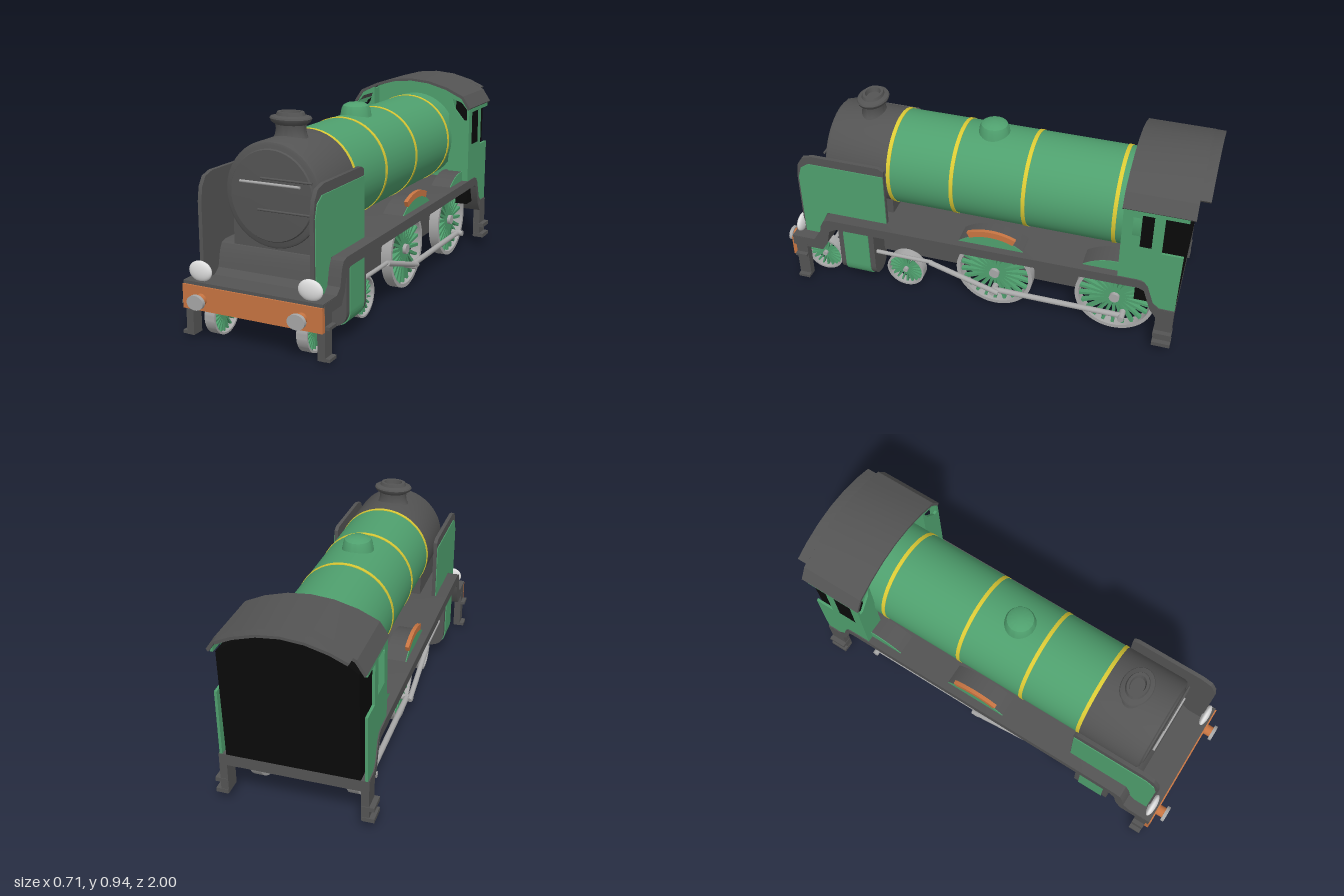
import * as THREE from 'three';
import { toCreasedNormals } from 'three/addons/utils/BufferGeometryUtils.js';

const mat = (name, color) => Object.assign(new THREE.MeshStandardMaterial({ color }), { name });
const green = mat('green', 0x4fa06e), dark = mat('charcoal', 0x545454), black = mat('black', 0x0a0a0a);
const orange = mat('orange', 0xc87542), yellow = mat('yellow', 0xdccb35);
const steel = mat('steel', 0xa8a8a8), white = mat('lampWhite', 0xdedede);

const toShape = (pts) => new THREE.Shape(pts.map(([a, b]) => new THREE.Vector2(a, b)));
const toPath = (pts) => new THREE.Path(pts.map(([a, b]) => new THREE.Vector2(a, b)));

export function createModel() {
  const root = new THREE.Group();
  root.name = 'steamLocomotive';

  const add = (name, geo, material, x = 0, y = 0, z = 0, parent = root) => {
    const m = new THREE.Mesh(geo, material);
    m.name = name;
    m.position.set(x, y, z);
    parent.add(m);
    return m;
  };
  const box = (name, material, w, h, d, x, y, z) => add(name, new THREE.BoxGeometry(w, h, d), material, x, y, z);
  // Extrudes a (z, y) side profile across x, centred on the mesh
  const slabGeo = (shape, depth) => {
    const g = new THREE.ExtrudeGeometry(shape, { depth, bevelEnabled: false, curveSegments: 32 });
    return toCreasedNormals(g.translate(0, 0, -depth / 2).rotateY(-Math.PI / 2), 0.6);
  };
  // Extrudes an (x, y) front profile between two z values
  const plateGeo = (shape, z0, z1) =>
    toCreasedNormals(new THREE.ExtrudeGeometry(shape, { depth: z1 - z0, bevelEnabled: false, curveSegments: 24 }).translate(0, 0, z0), 0.5);
  const lathe = (pts, seg = 48) =>
    toCreasedNormals(new THREE.LatheGeometry(pts.map(([r, y]) => new THREE.Vector2(r, y)), seg), 0.6);
  const cylZ = (r, len, seg = 48) => new THREE.CylinderGeometry(r, r, len, seg).rotateX(Math.PI / 2);
  const cylX = (r, len, seg = 16) => new THREE.CylinderGeometry(r, r, len, seg).rotateZ(Math.PI / 2);
  // Round bar between two points
  const bar = (name, material, a, b, r) => {
    const p = new THREE.Vector3(...a), q = new THREE.Vector3(...b), d = q.clone().sub(p);
    const m = add(name, new THREE.CylinderGeometry(r, r, d.length(), 12), material);
    m.position.copy(p).add(q).multiplyScalar(0.5);
    m.quaternion.setFromUnitVectors(new THREE.Vector3(0, 1, 0), d.normalize());
  };

  // Boiler, bands and smokebox
  const bx = 0.005, by = 0.613;
  add('boiler', cylZ(0.226, 1.19), green, bx, by, -0.125);
  for (const z of [0.46, 0.155, -0.185, -0.6]) add('boilerBand', cylZ(0.229, 0.018), yellow, bx, by, z);
  add('smokebox', lathe([[0.228, 0], [0.228, 0.29], [0.222, 0.303], [0.212, 0.308], [0, 0.308]]).rotateX(Math.PI / 2),
    dark, bx, by, 0.468);
  add('smokeboxDoor', lathe([[0.197, 0], [0.192, 0.008], [0.1, 0.012], [0, 0.013]]).rotateX(Math.PI / 2), dark, bx, by, 0.775);
  bar('doorRail', steel, [-0.135, 0.667, 0.795], [0.148, 0.667, 0.795], 0.006);
  bar('doorHinge', dark, [-0.04, 0.687, 0.788], [0.2, 0.687, 0.788], 0.005);
  bar('doorHinge', dark, [-0.056, 0.553, 0.788], [0.233, 0.553, 0.788], 0.005);
  box('smokeboxSaddle', dark, 0.375, 0.12, 0.3, -0.003, 0.44, 0.615);

  // Chimney and dome
  add('chimney', lathe([[0.1, -0.03], [0.085, 0.0], [0.072, 0.025], [0.067, 0.05], [0.07, 0.07], [0.088, 0.082],
    [0.094, 0.095], [0.09, 0.102], [0.066, 0.108], [0.06, 0.122], [0.045, 0.122], [0.04, 0.1], [0, 0.1]]),
    dark, 0, 0.813, 0.605).scale.z = 0.76;
  add('steamDome', lathe([[0.082, -0.03], [0.072, 0.005], [0.068, 0.03], [0.06, 0.047], [0.04, 0.058], [0, 0.062]]),
    green, bx, 0.83, 0.013);

  // Running plate with its drops at both ends, and the frame under it
  add('runningPlate', slabGeo(toShape([
    [0.945, 0.255], [0.83, 0.255], [0.8, 0.28], [0.785, 0.35], [0.77, 0.38], [0.74, 0.39],
    [-0.74, 0.402], [-0.77, 0.395], [-0.79, 0.37], [-0.82, 0.28], [-0.85, 0.255], [-0.92, 0.255],
    [-0.92, 0.2], [-0.84, 0.2], [-0.81, 0.24], [-0.775, 0.345], [-0.75, 0.357],
    [0.71, 0.342], [0.745, 0.32], [0.76, 0.25], [0.79, 0.2], [0.945, 0.2]]), 0.66), dark);
  box('frame', dark, 0.38, 0.2, 1.58, 0, 0.255, -0.05);
  box('bufferBeam', orange, 0.66, 0.106, 0.03, 0, 0.188, 0.937);

  // Wheels: steel rim and hub, green spokes
  const wheel = (x, z, r, rim, spokes, spokeW) => {
    const g = new THREE.Group();
    g.name = 'wheel';
    g.position.set(x, r, z);
    root.add(g);
    const ring = new THREE.Shape().absarc(0, 0, r, 0, Math.PI * 2);
    ring.holes.push(new THREE.Path().absarc(0, 0, r - rim, 0, Math.PI * 2, true));
    add('rim', slabGeo(ring, 0.05), steel, 0, 0, 0, g);
    add('hub', cylX(r * 0.13, 0.056), steel, 0, 0, 0, g);
    for (let i = 0; i < spokes; i++) {
      const s = add('spoke', new THREE.BoxGeometry(0.022, r - rim, spokeW).translate(0, (r - rim) / 2, 0), green, 0, 0, 0, g);
      s.rotation.x = (i / spokes) * Math.PI * 2;
    }
  };
  for (const z of [0.83, 0.4]) add('axle', cylX(0.01, 0.44), steel, 0, 0.094, z);

  // Cab profiles
  const cabSide = toShape([[-0.65, 0.79], [-0.65, 0.4], [-0.76, 0.4], [-0.79, 0.37], [-0.82, 0.28], [-0.85, 0.255],
    [-0.92, 0.255], [-0.925, 0.57], [-0.83, 0.57], [-0.83, 0.76], [-0.93, 0.76], [-0.93, 0.79]]);
  cabSide.holes.push(toPath([[-0.695, 0.59], [-0.785, 0.59], [-0.785, 0.76], [-0.695, 0.76]]));
  const deflector = toShape([[0.905, 0.25], [0.905, 0.59], [0.895, 0.65], [0.87, 0.69], [0.82, 0.705], [0.49, 0.705],
    [0.465, 0.69], [0.465, 0.385], [0.77, 0.38], [0.8, 0.25]]);
  const deflectorPanel = toShape([[0.896, 0.255], [0.896, 0.58], [0.88, 0.635], [0.84, 0.662], [0.468, 0.662],
    [0.468, 0.39], [0.77, 0.39], [0.79, 0.35], [0.805, 0.28], [0.83, 0.255]]);
  const cylinderShape = (g) => new THREE.Shape().moveTo(0.17, 0.35).lineTo(0.17, 0.13 - g)
    .quadraticCurveTo(0.18, 0.065 - g, 0.235, 0.065 - g).quadraticCurveTo(0.31 + g, 0.07 - g, 0.31 + g, 0.14)
    .lineTo(0.31 + g, 0.35).closePath();
  const arcBand = new THREE.Shape().absarc(0, 0, 0.278, Math.PI / 2 - 0.43, Math.PI / 2 + 0.43)
    .absarc(0, 0, 0.248, Math.PI / 2 + 0.43, Math.PI / 2 - 0.43, true);
  const splasher = new THREE.Shape().absarc(0, 0, 0.25, 0.8, Math.PI - 0.8).closePath();

  for (const s of [1, -1]) {
    const flip = (pts) => toShape(pts.map(([x, y]) => [x * s, y]));
    // Wheels and rods
    for (const z of [-0.055, -0.635]) {
      wheel(0.22 * s, z, 0.187, 0.018, 22, 0.014);
      add('splasher', slabGeo(splasher, 0.1), dark, 0.24 * s, 0.2, z);
      add('splasherFace', slabGeo(splasher, 0.004), green, 0.292 * s, 0.2, z);
    }
    for (const z of [0.83, 0.4]) wheel(0.22 * s, z, 0.094, 0.009, 20, 0.008);
    add('splasherArch', slabGeo(arcBand, 0.018), orange, 0.286 * s, 0.2, -0.055);
    bar('couplingRod', steel, [0.265 * s, 0.106, -0.06], [0.265 * s, 0.106, -0.69], 0.014);
    bar('connectingRod', steel, [0.285 * s, 0.213, 0.255], [0.285 * s, 0.106, -0.085], 0.013);
    bar('pistonRod', steel, [0.28 * s, 0.213, 0.53], [0.28 * s, 0.213, 0.245], 0.01);
    for (const z of [-0.06, -0.68]) add('crankPin', cylX(0.015, 0.06), steel, 0.265 * s, 0.106, z);

    // Steam cylinder with a green jacket
    const turn = s > 0 ? 0 : Math.PI;
    add('cylinder', plateGeo(cylinderShape(0), -0.09, 0.09), dark, 0, 0, 0.616).rotation.y = turn;
    add('cylinderJacket', plateGeo(cylinderShape(0.005), -0.064, 0.064), green, 0, 0, 0.616).rotation.y = turn;

    // Smoke deflector
    add('smokeDeflector', slabGeo(deflector, 0.018), dark, 0.261 * s, 0, 0);
    add('deflectorPanel', slabGeo(deflectorPanel, 0.004), green, 0.272 * s, 0, 0);

    // Lamps and buffers
    add('lamp', new THREE.SphereGeometry(1, 28, 18), white, 0.26 * s, 0.295, 0.918).scale.set(0.056, 0.045, 0.018);
    add('bufferStock', cylZ(0.026, 0.04, 24), orange, 0.237 * s, 0.185, 0.965);
    add('bufferHead', cylZ(1, 1, 32), steel, 0.237 * s, 0.185, 0.992).scale.set(0.04, 0.032, 0.016);

    // Footsteps hanging at both ends
    box('frontStepHanger', dark, 0.035, 0.24, 0.058, 0.313 * s, 0.13, 0.903);
    for (const y of [0.018, 0.152]) box('frontTread', dark, 0.05, 0.014, 0.058, 0.326 * s, y, 0.903);
    box('rearStepHanger', dark, 0.035, 0.2, 0.08, 0.313 * s, 0.15, -0.88);
    for (const y of [0.058, 0.115]) box('rearTread', dark, 0.055, 0.02, 0.085, 0.326 * s, y, -0.88);

    // Cab side and windowed front panel
    add('cabSide', slabGeo(cabSide, 0.012), green, 0.319 * s, 0, 0);
    const front = flip([[0.215, 0.4], [0.325, 0.4], [0.325, 0.785], [0.285, 0.838], [0.215, 0.868]]);
    front.holes.push(toPath([[0.226, 0.832], [0.283, 0.812], [0.314, 0.775], [0.314, 0.72], [0.295, 0.72], [0.24, 0.785]]
      .map(([x, y]) => [x * s, y])));
    add('cabFrontPanel', plateGeo(front, -0.662, -0.65), green);
    box('cabFrontJamb', green, 0.01, 0.45, 0.06, 0.22 * s, 0.63, -0.69);
  }

  // Recessed middle of the cab front
  add('cabFrontCentre', plateGeo(toShape([[-0.225, 0.4], [0.225, 0.4], [0.225, 0.862], [0.1, 0.9], [0, 0.91],
    [-0.1, 0.9], [-0.225, 0.862]]), -0.722, -0.71), green);

  // Black cab interior, its rear leaning out toward the top
  const inner = plateGeo(toShape([[-0.295, 0.255], [0.295, 0.255], [0.295, 0.775], [0.22, 0.832], [0.1, 0.89], [0, 0.9],
    [-0.1, 0.89], [-0.22, 0.832], [-0.295, 0.775]]), -0.92, -0.73);
  const p = inner.attributes.position;
  for (let i = 0; i < p.count; i++) if (p.getZ(i) < -0.9) p.setZ(i, -0.92 - (p.getY(i) - 0.255) * 0.045);
  add('cabInterior', inner, black);

  // Arched roof shell with a narrower rear overhang
  const roofShape = (half) => {
    const right = half.concat(half.slice(0, -1).reverse().map(([x, y]) => [-x, y]));
    const under = right.map(([x, y]) => [x * 0.97, y - 0.012]).reverse();
    return toShape(right.concat(under));
  };
  add('cabRoof', plateGeo(roofShape([[0.33, 0.785], [0.29, 0.845], [0.2, 0.886], [0.1, 0.913], [0, 0.922]]), -0.955, -0.645), dark);
  add('roofOverhang', plateGeo(roofShape([[0.275, 0.853], [0.2, 0.886], [0.1, 0.913], [0, 0.922]]), -1, -0.95), dark);

  return root;
}
